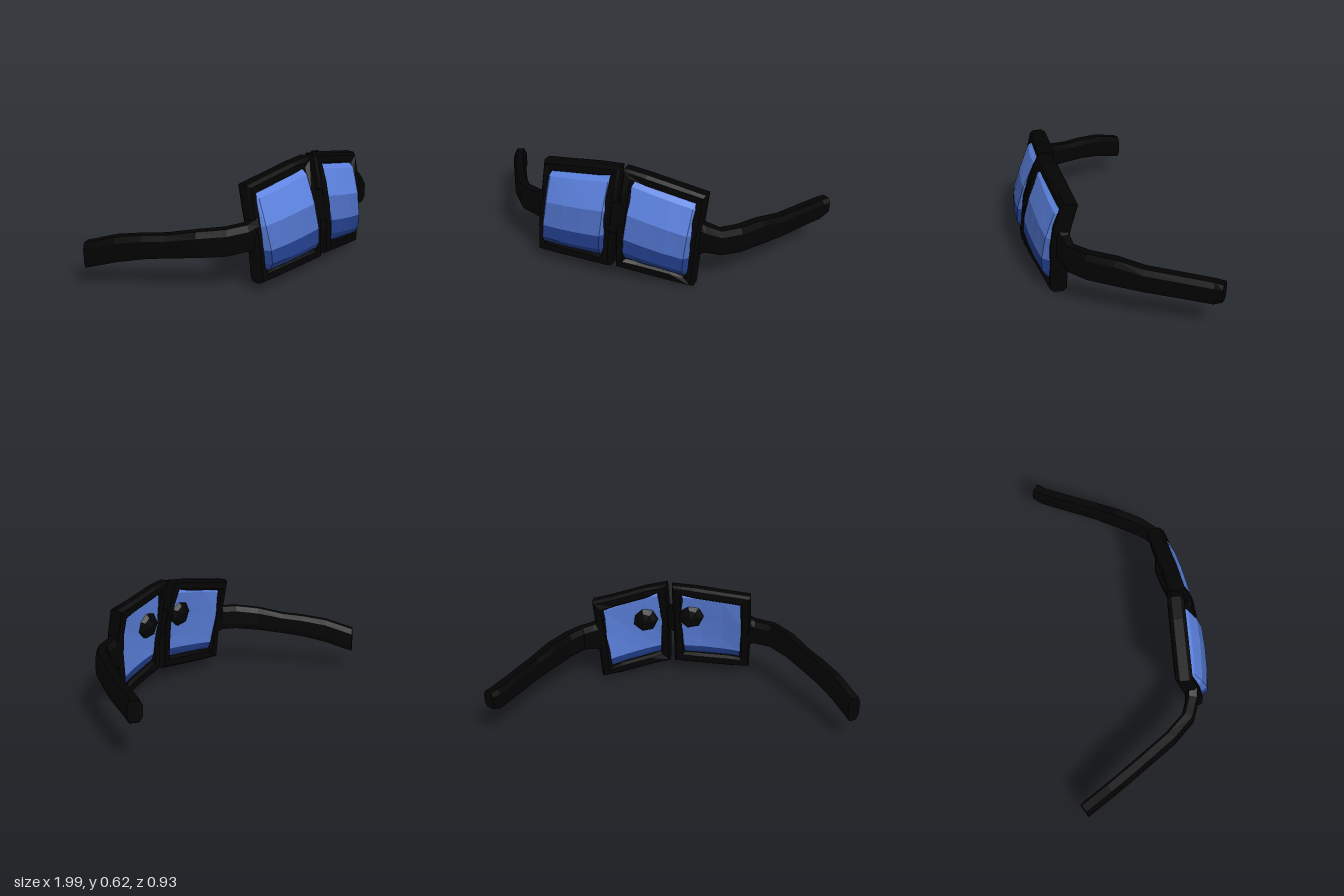
import * as THREE from 'three';

const V = (x, y, z) => new THREE.Vector3(x, y, z);

// Skin a list of rings; either wrap round to the first ring or cap both ends.
// pick(row, column) chooses the material group of each strip.
function loft(rings, wrap, pick = () => 0) {
  const tris = [];
  const n = rings[0].length, m = rings.length;
  for (let i = 0; i < (wrap ? m : m - 1); i++) {
    const a = rings[i], b = rings[(i + 1) % m];
    for (let j = 0; j < n; j++) {
      const k = (j + 1) % n, mat = pick(i, j);
      tris.push({ p: [a[j], b[j], b[k]], mat }, { p: [a[j], b[k], a[k]], mat });
    }
  }
  if (!wrap) {
    [[rings[0], false, 0], [rings[m - 1], true, m - 2]].forEach(([r, flip, row]) => {
      const c = r.reduce((s, p) => s.add(p), V(0, 0, 0)).divideScalar(n);
      for (let j = 0; j < n; j++) {
        const k = (j + 1) % n;
        tris.push({ p: flip ? [c, r[k], r[j]] : [c, r[j], r[k]], mat: pick(row, 0) });
      }
    });
  }
  // Turn every face outward using the signed volume
  let volume = 0;
  const cross = V(0, 0, 0);
  tris.forEach(({ p: [a, b, c] }) => { volume += a.dot(cross.crossVectors(b, c)); });
  tris.sort((s, t) => s.mat - t.mat);
  const pos = [];
  const g = new THREE.BufferGeometry();
  tris.forEach(({ p: [a, b, c], mat }, i) => {
    (volume < 0 ? [a, c, b] : [a, b, c]).forEach(p => pos.push(p.x, p.y, p.z));
    const last = g.groups[g.groups.length - 1];
    if (last && last.materialIndex === mat) last.count += 3;
    else g.addGroup(i * 3, 3, mat);
  });
  g.setAttribute('position', new THREE.Float32BufferAttribute(pos, 3));
  g.computeVertexNormals();
  return g;
}

// Curved panel between two upright edges, u across and v from top to bottom
function panel(left, right) {
  const edge = (e, v) => {
    const t = v * 4, i = Math.min(3, Math.floor(t));
    return V(
      THREE.MathUtils.lerp(e.top[0], e.bottom[0], v),
      THREE.MathUtils.lerp(e.top[1], e.bottom[1], v),
      THREE.MathUtils.lerp(e.z[i], e.z[i + 1], t - i));
  };
  return (u, v) => edge(left, v).lerp(edge(right, v), u);
}

// Octagonal section, first value across, second value deep
const OCT = [[1, 0.55], [0.6, 1], [-0.6, 1], [-1, 0.55], [-1, -0.55], [-0.6, -1], [0.6, -1], [1, -0.55]];

function rimGeometry(P) {
  const stops = [];
  const steps = [0.25, 0.5, 0.75];
  stops.push([0, 0, -0.9, 0.9]);
  steps.forEach(t => stops.push([t, 0, 0, 1]));
  stops.push([1, 0, 0.9, 0.9]);
  steps.forEach(t => stops.push([1, t, 1, 0]));
  stops.push([1, 1, 0.9, -0.9]);
  steps.forEach(t => stops.push([1 - t, 1, 0, -1]));
  stops.push([0, 1, -0.9, -0.9]);
  steps.forEach(t => stops.push([0, 1 - t, -1, 0]));
  return loft(stops.map(([u, v, sx, sy]) => {
    const c = P(u, v);
    return OCT.map(([a, b]) => V(c.x + sx * a * 0.032, c.y + sy * a * 0.032, c.z + b * 0.045));
  }), true);
}

// Thick lens: bulging front in three colour bands, slightly hollow back in two.
// bulge scales the front at the two upright edges.
function lensGeometry(P, bulge) {
  const rows = [
    // v, front offset, back offset
    [0.03, 0.015, 0], [0.1, 0.052, -0.025], [0.4, 0.067, -0.04],
    [0.67, 0.082, -0.036], [0.83, 0.08, -0.03], [0.9, 0.06, -0.02], [0.97, 0.015, 0]
  ];
  const cols = [[0.01, 0.55], [0.06, 0.9], [0.35, 1], [0.65, 1], [0.94, 0.9], [0.99, 0.55]];
  const frontBand = [0, 0, 1, 2, 2, 2];
  const backBand = [0, 0, 0, 0, 2, 2];
  return loft(rows.map(([v, f, b]) => {
    const front = cols.map(([u, k]) =>
      P(u, v).add(V(0, 0, f * k * THREE.MathUtils.lerp(bulge[0], bulge[1], u))));
    const back = cols.map(([u, k]) => P(u, v).add(V(0, 0, b * (k === 1 ? 0.6 : 1))));
    return [...front, ...back.reverse()];
  }), false, (i, j) => (j > 5 && j < 11 ? backBand : frontBand)[i]);
}

// Arm following points of [x, z, lowest y, highest y]
function armGeometry(path) {
  return loft(path.map(([x, z, lo, hi], i) => {
    const p = path[Math.max(0, i - 1)], q = path[Math.min(path.length - 1, i + 1)];
    const side = V(q[1] - p[1], 0, p[0] - q[0]).normalize();
    return OCT.map(([a, b]) =>
      V(x, (lo + hi) / 2 + b * (hi - lo) / 2, z).addScaledVector(side, a * 0.036));
  }), false);
}

export function createModel() {
  const paint = (name, color) => {
    const material = new THREE.MeshStandardMaterial({ color });
    material.name = name;
    return material;
  };
  const black = paint('black frame', 0x030303);
  const blues = [
    paint('light blue lens', 0x5c82df),
    paint('middle blue lens', 0x4b6bbd),
    paint('dark blue lens', 0x233f8c)
  ];

  const model = new THREE.Group();
  model.name = 'glasses';
  const add = (name, geometry, material) => {
    const mesh = new THREE.Mesh(geometry, material);
    mesh.name = name;
    model.add(mesh);
    return mesh;
  };

  // Rims and lenses
  const sides = {
    right: {
      bulge: [1.1, 0.95],
      P: panel(
        { top: [-0.375, 0.53], bottom: [-0.38, 0.082], z: [0.285, 0.315, 0.345, 0.365, 0.38] },
        { top: [0.025, 0.583], bottom: [0.015, 0.098], z: [0.285, 0.335, 0.37, 0.385, 0.392] })
    },
    left: {
      bulge: [0.72, 1.1],
      P: panel(
        { top: [0.11, 0.588], bottom: [0.1, 0.103], z: [0.297, 0.335, 0.365, 0.382, 0.385] },
        { top: [0.482, 0.495], bottom: [0.45, 0.03], z: [0.225, 0.262, 0.28, 0.28, 0.285] })
    }
  };
  for (const [side, { P, bulge }] of Object.entries(sides)) {
    add(side + 'Rim', rimGeometry(P), black);
    add(side + 'Lens', lensGeometry(P, bulge), blues);
  }

  // Bridge joining the rims
  add('bridge', loft([[0.28, 0.03, 0.385], [0.32, 0.045, 0.375], [0.4, 0.045, 0.355], [0.44, 0.03, 0.345]]
    .map(([y, r, z]) => OCT.map(([a, b]) => V(0.06 + a * r, y, z + b * 0.04))), false), black);

  // Nose pads behind the lenses
  [['leftNosePad', 0.215, 0.375, 0.305], ['rightNosePad', -0.055, 0.4, 0.32]].forEach(([name, x, y, z]) => {
    const pad = add(name, new THREE.SphereGeometry(1, 7, 5).rotateX(Math.PI / 2).toNonIndexed(), black);
    pad.geometry.computeVertexNormals();
    pad.scale.set(0.078, 0.08, 0.048);
    pad.position.set(x, y, z);
  });

  // Arms, uneven like the rims
  add('rightArm', armGeometry([
    [-0.38, 0.345, 0.21, 0.4], [-0.44, 0.34, 0.23, 0.375], [-0.54, 0.305, 0.225, 0.37],
    [-0.64, 0.2, 0.215, 0.355], [-0.73, 0.07, 0.2, 0.325], [-0.8, -0.03, 0.185, 0.315],
    [-0.88, -0.15, 0.155, 0.295], [-0.968, -0.295, 0.105, 0.245]]), black);
  add('leftArm', armGeometry([
    [0.47, 0.265, 0.18, 0.39], [0.52, 0.25, 0.2, 0.36], [0.59, 0.235, 0.195, 0.34],
    [0.66, 0.155, 0.185, 0.335], [0.73, 0.03, 0.18, 0.33], [0.8, -0.1, 0.175, 0.305],
    [0.88, -0.28, 0.168, 0.293], [0.94, -0.41, 0.162, 0.285], [0.966, -0.45, 0.185, 0.282]]), black);

  return model;
}
